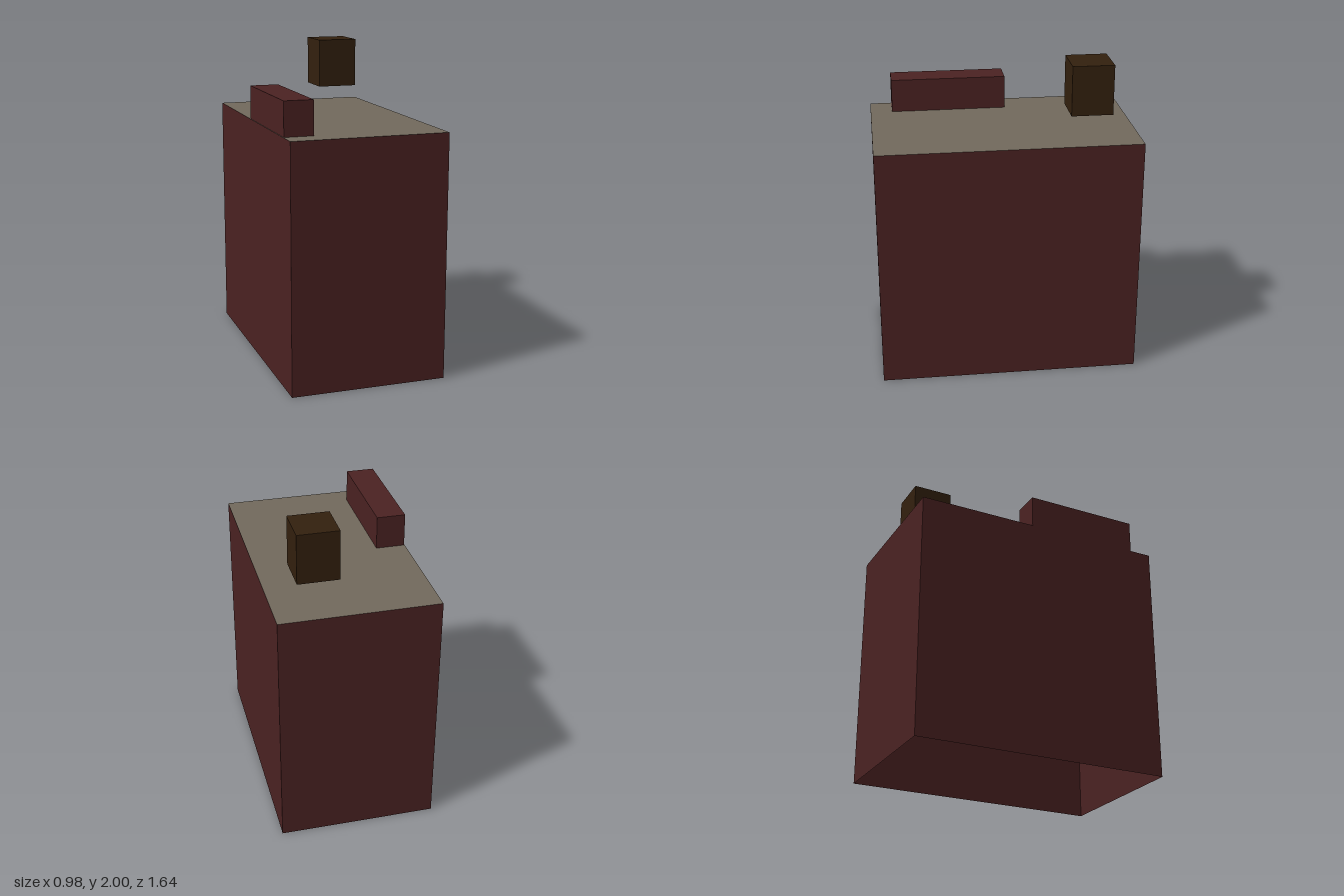
import * as THREE from 'three';

export function createModel() {
  const model = new THREE.Group();
  model.name = 'building';

  const mat = (name, color) => {
    const m = new THREE.MeshStandardMaterial({ color, side: THREE.DoubleSide });
    m.name = name;
    return m;
  };
  const brick = mat('darkRedBrick', 0x4b2222);
  const gravel = mat('greyRoof', 0x726a5d);
  const brown = mat('darkBrown', 0x33200e);

  // Box given by its lower and upper corners
  const block = (name, [x0, y0, z0], [x1, y1, z1], material) => {
    const mesh = new THREE.Mesh(new THREE.BoxGeometry(x1 - x0, y1 - y0, z1 - z0), material);
    mesh.name = name;
    mesh.position.set((x0 + x1) / 2, (y0 + y1) / 2, (z0 + z1) / 2);
    model.add(mesh);
    return mesh;
  };

  const W = 0.492, H = 1.545, D = 0.82;

  // Four outer walls, open underneath; box groups are +x, -x, top, bottom, +z, -z
  const walls = block('walls', [-W, 0, -D], [W, H, D], [brick, brick, gravel, brick, brick, brick]);
  walls.geometry.groups.splice(2, 2);

  // Flat roof
  const roof = new THREE.Mesh(new THREE.PlaneGeometry(2 * W, 2 * D), gravel);
  roof.name = 'roof';
  roof.rotation.x = -Math.PI / 2;
  roof.position.y = H;
  model.add(roof);

  // Long raised housing along the right edge of the roof
  block('roofHousing', [-0.488, H, -0.06], [-0.306, 1.757, 0.68], brick);

  // Raised tank near the back
  block('roofTank', [0.082, 1.687, -0.648], [0.338, 2, -0.39], brown);

  return model;
}
